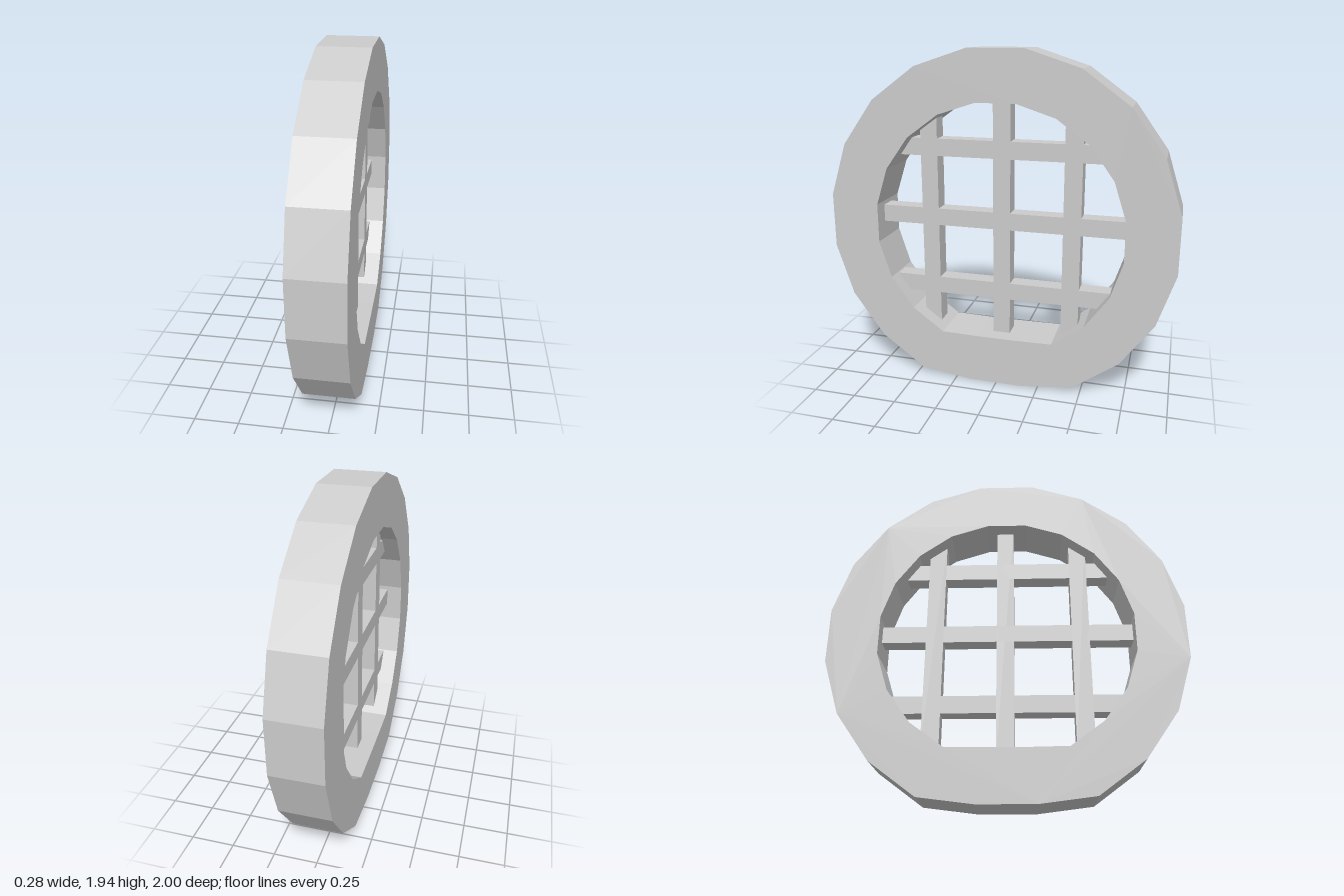
import * as THREE from 'three';

const CENTER_Y = 0.94;
const SIDES = 20;
const DEPTH = 0.285;
const BAR = 0.1;

// Regular polygon in the z-y plane, flattened where it dips below minY
function ringOutline(radius, minY) {
  return Array.from({ length: SIDES }, (_, i) => {
    const a = ((i + 0.5) / SIDES) * Math.PI * 2;
    const y = CENTER_Y + radius * Math.sin(a);
    return new THREE.Vector2(radius * Math.cos(a), Math.max(y, minY));
  });
}

export function createModel() {
  const group = new THREE.Group();
  group.name = 'roundLatticeWindow';
  const material = new THREE.MeshStandardMaterial({ color: 0xcccccc, flatShading: true });

  const add = (name, geometry, x = 0, y = 0, z = 0) => {
    const mesh = new THREE.Mesh(geometry, material);
    mesh.name = name;
    mesh.position.set(x, y, z);
    group.add(mesh);
  };

  // Faceted frame with a flattened base and sill
  const shape = new THREE.Shape(ringOutline(1.0125, 0));
  shape.holes.push(new THREE.Path(ringOutline(0.725, 0.29)));
  const frame = new THREE.ExtrudeGeometry(shape, { depth: DEPTH, bevelEnabled: false });
  frame.translate(0, 0, -DEPTH / 2);
  frame.rotateY(Math.PI / 2);
  add('frame', frame);

  // Upright bars, their ends set into the frame: [z, bottom, top]
  [[0.42, 0.3, 1.6], [-0.01, 0.24, 1.7], [-0.415, 0.3, 1.6]].forEach(([z, bottom, top], i) =>
    add(`verticalBar${i + 1}`, new THREE.BoxGeometry(BAR, top - bottom, BAR), 0, (top + bottom) / 2, z));

  // Cross bars, flush with the uprights: [y, half length]
  [[0.555, 0.69], [0.98, 0.77], [1.39, 0.65]].forEach(([y, half], i) =>
    add(`horizontalBar${i + 1}`, new THREE.BoxGeometry(BAR, BAR, half * 2), 0, y, 0));

  return group;
}
